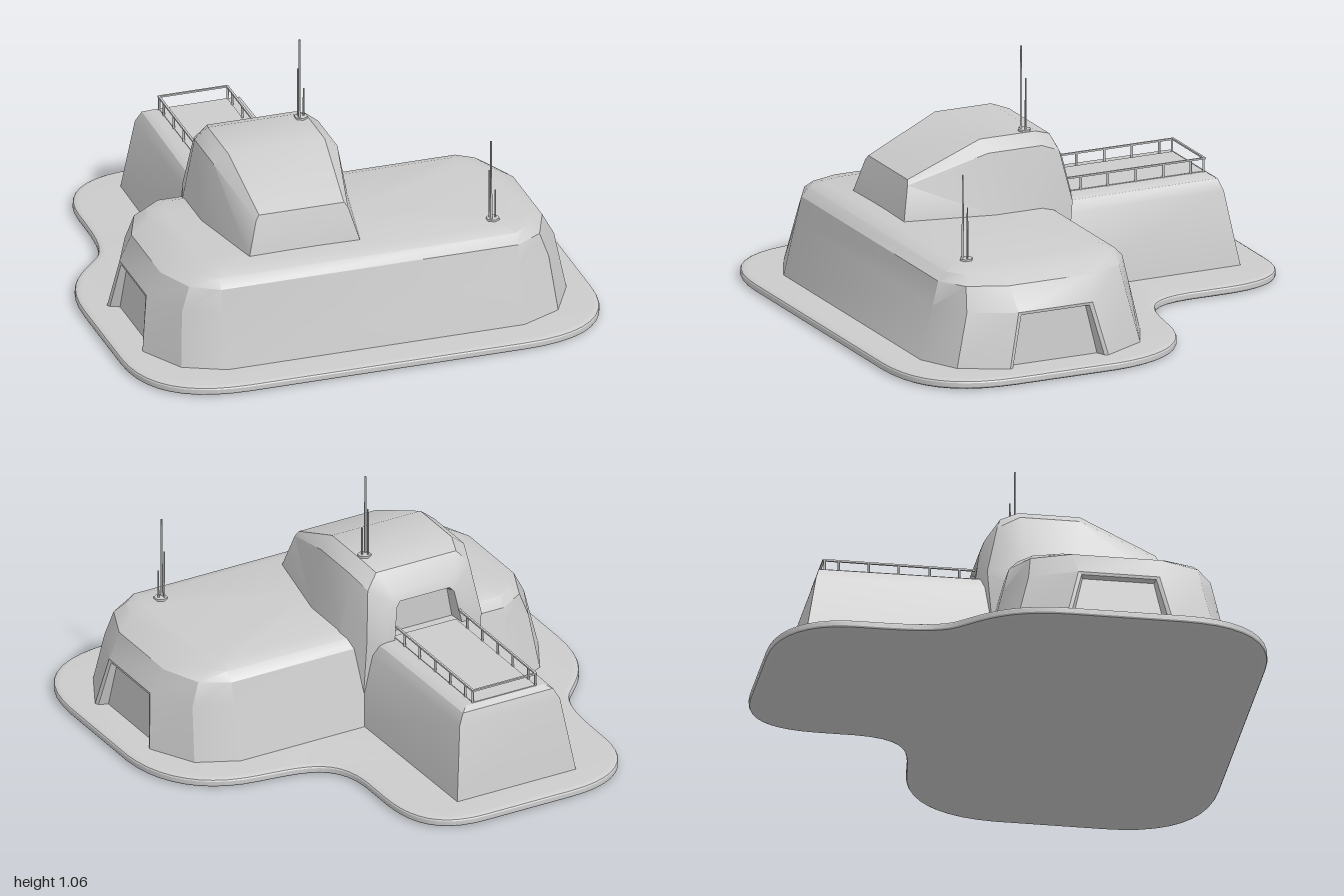
import * as THREE from 'three';
import { toCreasedNormals } from 'three/addons/utils/BufferGeometryUtils.js';

const CX = -0.225; // centre line of tower and rear annex
const grey = new THREE.MeshStandardMaterial({ color: 0xcccccc });

function add(parent, name, geometry, x = 0, y = 0, z = 0) {
  const mesh = new THREE.Mesh(geometry, grey);
  mesh.name = name;
  mesh.position.set(x, y, z);
  parent.add(mesh);
  return mesh;
}

// Skin a list of equal-length rings; the last ring is always capped.
function loft(rings, { capStart = false, skip = () => false, crease = 0.5 } = {}) {
  const pos = [];
  const tri = (...pts) => pts.forEach((p) => pos.push(...p));
  const n = rings[0].length;
  for (let i = 0; i < rings.length - 1; i++) {
    for (let j = 0; j < n; j++) {
      if (skip(i, j)) continue;
      const k = (j + 1) % n;
      const [a, b, c, d] = [rings[i][j], rings[i][k], rings[i + 1][k], rings[i + 1][j]];
      tri(a, b, c);
      tri(a, c, d);
    }
  }
  const cap = (ring, flip) => {
    const mid = [0, 1, 2].map((m) => ring.reduce((s, p) => s + p[m], 0) / n);
    ring.forEach((p, j) => {
      const q = ring[(j + 1) % n];
      if (flip) tri(mid, q, p);
      else tri(mid, p, q);
    });
  };
  cap(rings[rings.length - 1], false);
  if (capStart) cap(rings[0], true);
  const g = new THREE.BufferGeometry();
  g.setAttribute('position', new THREE.Float32BufferAttribute(pos, 3));
  return toCreasedNormals(g, crease);
}

// Rounded ground slab with a lobe to the rear
function slabGeometry() {
  const s = new THREE.Shape();
  s.moveTo(-0.4, 1);
  s.lineTo(0, 1);
  s.bezierCurveTo(0.2, 1, 0.28, 0.88, 0.28, 0.68);
  s.lineTo(0.28, 0.52);
  s.bezierCurveTo(0.29, 0.3, 0.42, 0.29, 0.62, 0.265);
  s.bezierCurveTo(0.86, 0.24, 0.99, 0.08, 1, -0.15);
  s.lineTo(1, -0.6);
  s.bezierCurveTo(1, -0.86, 0.86, -1, 0.58, -1);
  s.lineTo(-0.58, -1);
  s.bezierCurveTo(-0.86, -1, -1, -0.86, -1, -0.6);
  s.lineTo(-1, -0.15);
  s.bezierCurveTo(-1, 0.12, -0.88, 0.2, -0.8, 0.29);
  s.bezierCurveTo(-0.74, 0.36, -0.74, 0.5, -0.74, 0.68);
  s.bezierCurveTo(-0.74, 0.88, -0.62, 1, -0.4, 1);
  const g = new THREE.ExtrudeGeometry(s, {
    depth: 0.016, bevelThickness: 0.012, bevelSize: 0.025, bevelOffset: -0.025,
    bevelSegments: 3, curveSegments: 10,
  });
  g.rotateX(-Math.PI / 2);
  g.translate(0, 0.012, 0);
  return toCreasedNormals(g, 0.5);
}

// Horizontal outline of the main hull with chamfered corners
function hullRing([y, cx, hx, z0, z1, e0, e1]) {
  const mx = cx + 0.63 * (hx - cx);
  const right = [
    [cx, y, z1], [mx, y, z1 - 0.3 * (z1 - e1)], [hx, y, e1],
    [hx, y, e0], [mx, y, z0 + 0.3 * (e0 - z0)], [cx, y, z0],
  ];
  return [...right, ...right.map(([x, h, z]) => [-x, h, z]).reverse()];
}

// Arched cross-section: one side given from the foot up, mirrored over the centre line
function arch(side) {
  return [
    ...side.map(([h, y, z]) => [CX - h, y, z]),
    ...side.map(([h, y, z]) => [CX + h, y, z]).reverse(),
  ];
}

// Hexagonal foot with three thin masts
function antenna(name, x, y, z) {
  const g = new THREE.Group();
  g.name = name;
  g.position.set(x, y, z);
  add(g, 'antennaFoot', new THREE.CylinderGeometry(0.028, 0.028, 0.012, 6), 0, 0.002, 0);
  for (const [dx, dz, h, r] of [[-0.01, 0.01, 0.355, 0.005], [0.011, 0, 0.13, 0.004], [-0.01, -0.011, 0.215, 0.004]])
    add(g, 'mast', new THREE.CylinderGeometry(r * 0.8, r, h, 6), dx, h / 2, dz);
  return g;
}

export function createModel() {
  const model = new THREE.Group();
  model.name = 'outpost';
  add(model, 'groundSlab', slabGeometry());

  // Main hull, left open where the end doors sit: y, corner x, end x, z range, end-face z range
  const hull = [
    [0.035, 0.63, 0.9, -0.13, 0.85, 0.14, 0.58],
    [0.26, 0.63, 0.865, -0.075, 0.795, 0.195, 0.525],
    [0.36, 0.63, 0.81, -0.05, 0.77, 0.18, 0.54],
    [0.395, 0.63, 0.735, -0.015, 0.735, 0.15, 0.57],
    [0.413, 0.6, 0.65, 0.04, 0.68, 0.13, 0.59],
  ].map(hullRing);
  add(model, 'mainHull', loft(hull, { skip: (i, j) => i === 0 && (j === 2 || j === 8) }));

  // Recessed end doors
  const doorRings = [
    [[0.9, 0.035, 0.22], [0.9, 0.035, -0.22], [0.865, 0.26, -0.165], [0.865, 0.26, 0.165]],
    [[0.893, 0.035, 0.205], [0.893, 0.035, -0.205], [0.863, 0.248, -0.152], [0.863, 0.248, 0.152]],
    [[0.855, 0.035, 0.19], [0.855, 0.035, -0.19], [0.84, 0.24, -0.145], [0.84, 0.24, 0.145]],
  ];
  const doorGeometry = loft(doorRings, { crease: 0.3 });
  add(model, 'leftDoor', doorGeometry, 0, 0, 0.36);
  add(model, 'rightDoor', doorGeometry, 0, 0, 0.36).rotation.y = Math.PI;

  // Tower, skinned from front to back; the last two sections form the roof door recess
  const tower = [
    [[0.245, 0.3, 0.64], [0.235, 0.41, 0.622], [0.195, 0.55, 0.587], [0.18, 0.57, 0.58]],
    [[0.33, 0.3, 0.25], [0.312, 0.41, 0.25], [0.262, 0.66, 0.26], [0.205, 0.705, 0.27]],
    [[0.33, 0.3, 0.02], [0.312, 0.41, 0.02], [0.262, 0.66, 0.02], [0.205, 0.705, 0.02]],
    [[0.27, 0.05, -0.085], [0.265, 0.41, -0.115], [0.235, 0.62, -0.07], [0.185, 0.68, -0.05]],
    [[0.21, 0.05, -0.105], [0.185, 0.41, -0.15], [0.16, 0.57, -0.118], [0.145, 0.6, -0.108]],
    [[0.19, 0.05, -0.106], [0.155, 0.41, -0.15], [0.132, 0.545, -0.127], [0.115, 0.565, -0.122]],
    [[0.19, 0.05, -0.08], [0.148, 0.41, -0.08], [0.125, 0.54, -0.08], [0.108, 0.555, -0.08]],
  ].map(arch);
  add(model, 'tower', loft(tower, { capStart: true }));

  // Rear annex with sloping walls
  const annex = [
    [0.035, 0.275, -0.86], [0.35, 0.232, -0.805], [0.395, 0.208, -0.79], [0.41, 0.18, -0.765],
  ].map(([y, h, z]) => [
    [CX - h - 0.01, y, -0.02], [CX + h + 0.01, y, -0.02], [CX + h, y, z], [CX - h, y, z],
  ]);
  add(model, 'rearAnnex', loft(annex));
  add(model, 'roofDeck', new THREE.BoxGeometry(0.29, 0.006, 0.64), CX, 0.41, -0.44);

  // Roof railing
  const railing = new THREE.Group();
  railing.name = 'railing';
  model.add(railing);
  for (const side of [-1, 1]) {
    const x = CX + side * 0.145;
    add(railing, 'sideRail', new THREE.BoxGeometry(0.009, 0.007, 0.62), x, 0.466, -0.455);
    for (const z of [-0.21, -0.33, -0.455, -0.578, -0.7, -0.757])
      add(railing, 'railPost', new THREE.CylinderGeometry(0.005, 0.005, 0.06, 6), x, 0.437, z);
  }
  add(railing, 'rearRail', new THREE.BoxGeometry(0.299, 0.007, 0.009), CX, 0.466, -0.761);

  model.add(antenna('towerAntenna', -0.048, 0.705, 0.058));
  model.add(antenna('hullAntenna', 0.573, 0.413, 0.618));
  return model;
}
